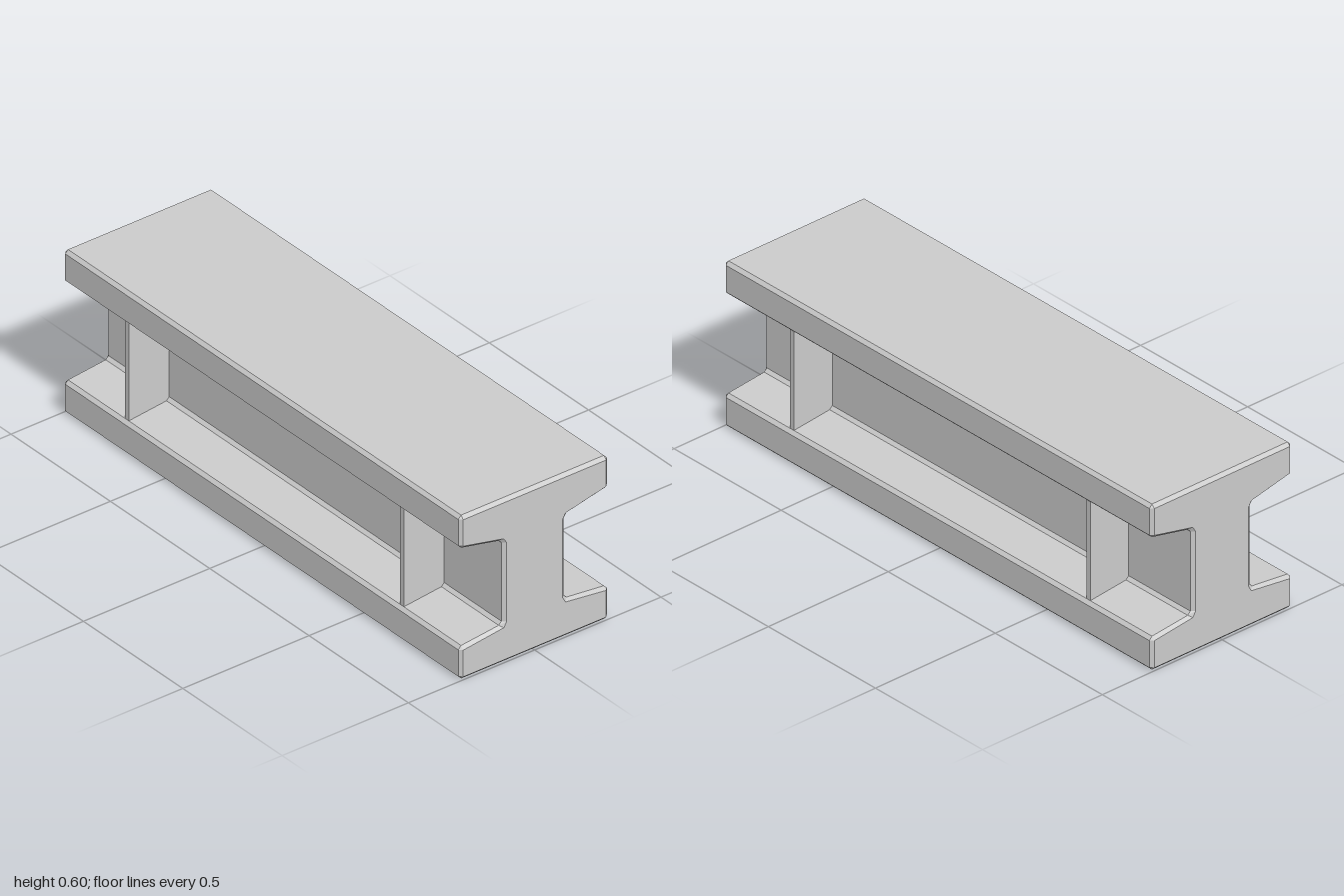
import * as THREE from 'three';

const material = new THREE.MeshStandardMaterial({ color: 0xcccccc, flatShading: true });

// Right half of the I-section, bottom to top: body x, y, then end-face x, y
const HALF = [
  [0.283, 0, 0.283, 0.011],
  [0.294, 0.011, 0.283, 0.011],
  [0.294, 0.109, 0.283, 0.109],
  [0.283, 0.121, 0.283, 0.109],
  [0.134, 0.137, 0.122, 0.129],
  [0.123, 0.148, 0.111, 0.148],
  [0.123, 0.437, 0.111, 0.437],
  [0.134, 0.448, 0.122, 0.456],
  [0.283, 0.480, 0.283, 0.491],
  [0.294, 0.491, 0.283, 0.491],
  [0.294, 0.588, 0.283, 0.588],
  [0.283, 0.600, 0.283, 0.588],
];

function beamGeometry() {
  const section = [...HALF, ...HALF.map(([x, y, fx, fy]) => [-x, y, -fx, fy]).reverse()];
  const n = section.length;
  const body = section.map(([x, y]) => new THREE.Vector2(x, y));
  const face = section.map(([, , x, y]) => new THREE.Vector2(x, y));

  // Four loops along z: end face, body, body, end face
  const loops = [[face, 1], [body, 0.989], [body, -0.989], [face, -1]];
  const positions = [];
  for (const [loop, z] of loops) for (const p of loop) positions.push(p.x, p.y, z);

  const index = [];
  for (let k = 0; k < loops.length - 1; k++) {
    for (let i = 0; i < n; i++) {
      const j = (i + 1) % n;
      const a = k * n + i, b = (k + 1) * n + i, c = (k + 1) * n + j, d = k * n + j;
      index.push(a, b, c, a, c, d);
    }
  }

  // End caps
  const back = (loops.length - 1) * n;
  for (const [a, b, c] of THREE.ShapeUtils.triangulateShape(face, [])) {
    index.push(a, b, c, back + a, back + c, back + b);
  }

  const geometry = new THREE.BufferGeometry();
  geometry.setAttribute('position', new THREE.Float32BufferAttribute(positions, 3));
  geometry.setIndex(index);
  const flat = geometry.toNonIndexed();
  flat.computeVertexNormals();
  return flat;
}

export function createModel() {
  const group = new THREE.Group();
  group.name = 'beam';

  const beam = new THREE.Mesh(beamGeometry(), material);
  beam.name = 'iBeam';
  group.add(beam);

  // Stiffener plates between the flanges, on both sides of the web
  const plate = new THREE.BoxGeometry(0.168, 0.36, 0.018);
  for (const side of [1, -1]) {
    for (const end of [1, -1]) {
      const rib = new THREE.Mesh(plate, material);
      rib.name = `${side > 0 ? 'left' : 'right'}${end > 0 ? 'Front' : 'Back'}Stiffener`;
      rib.position.set(side * 0.199, 0.3, end * 0.692);
      group.add(rib);
    }
  }
  return group;
}
